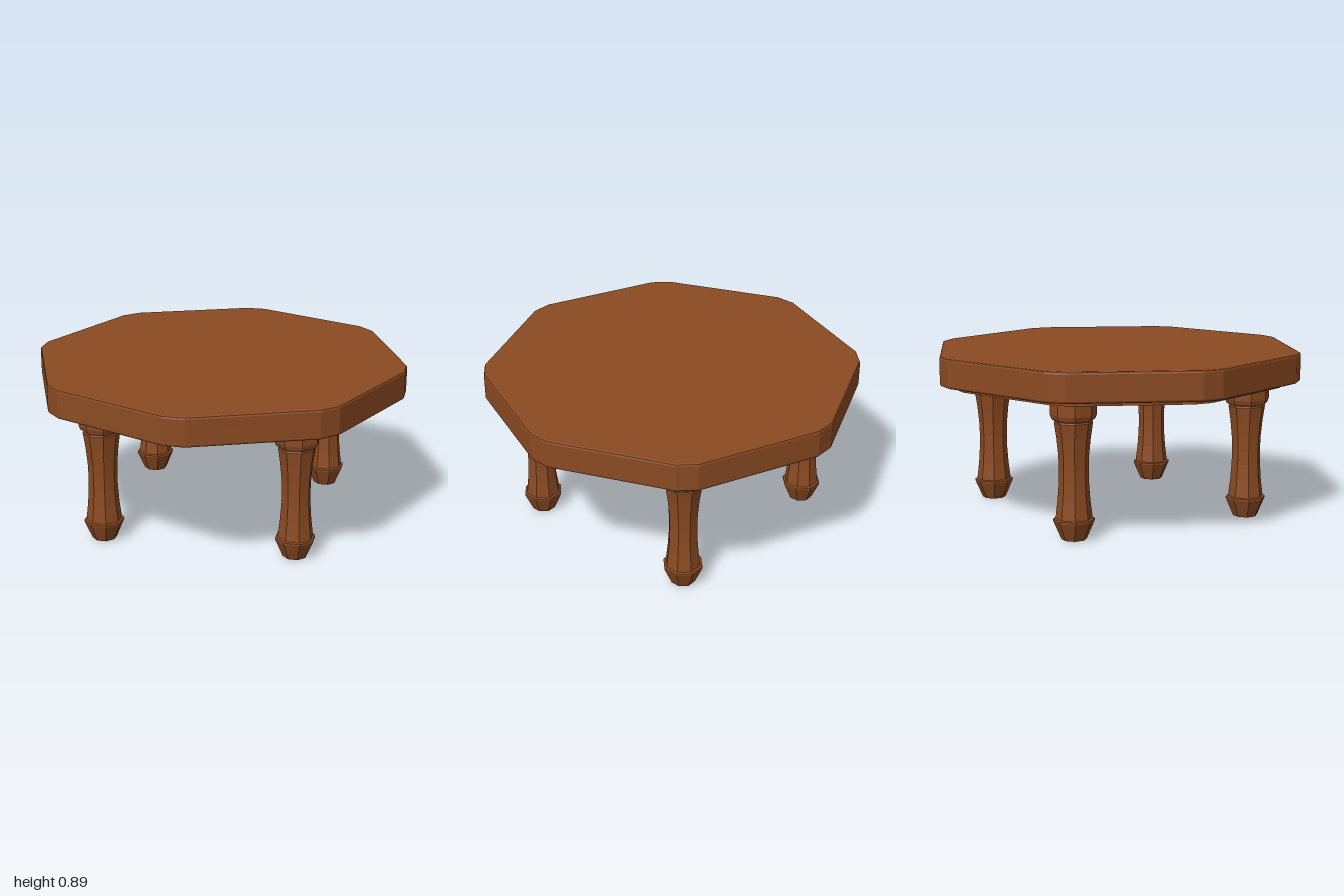
import * as THREE from 'three';

// Octagon with clipped corners pointing along the axes and diagonals
function clippedOctagon(radius, halfCut) {
  const points = [];
  for (let i = 0; i < 8; i++) {
    for (const side of [-1, 1]) {
      points.push(new THREE.Vector2(radius, side * halfCut).rotateAround(new THREE.Vector2(), i * Math.PI / 4));
    }
  }
  return new THREE.Shape(points);
}

// Horizontal slab between two heights, with an optional eased edge
function slab(name, shape, bottom, top, bevel, material) {
  const geometry = new THREE.ExtrudeGeometry(shape, {
    depth: top - bottom - 2 * bevel,
    bevelEnabled: bevel > 0,
    bevelThickness: bevel,
    bevelSize: bevel,
    bevelOffset: -bevel,
    bevelSegments: 2,
  });
  geometry.rotateX(-Math.PI / 2);
  geometry.translate(0, bottom + bevel, 0);
  const mesh = new THREE.Mesh(geometry, material);
  mesh.name = name;
  return mesh;
}

// Eight-sided turned piece; the profile lists [half width across flats, height]
function turned(name, profile, material) {
  const points = profile.map(([w, y]) => new THREE.Vector2(w / Math.cos(Math.PI / 8), y));
  const geometry = new THREE.LatheGeometry(points, 8, Math.PI / 8);
  const mesh = new THREE.Mesh(geometry, material);
  mesh.name = name;
  return mesh;
}

export function createModel() {
  const wood = new THREE.MeshStandardMaterial({ color: 0x8b4a22 });
  wood.name = 'brown wood';
  wood.flatShading = true;

  const table = new THREE.Group();
  table.name = 'table';

  // Top and the thin plate beneath it
  table.add(slab('tableTop', clippedOctagon(1, 0.055), 0.735, 0.89, 0.012, wood));
  table.add(slab('underPlate', clippedOctagon(0.91, 0.05), 0.71, 0.737, 0, wood));

  // Four legs, one on each axis
  const shaft = [[0, 0], [0.06, 0], [0.098, 0.096], [0.098, 0.106], [0.087, 0.11], [0.077, 0.2],
    [0.071, 0.29], [0.07, 0.36], [0.072, 0.43], [0.08, 0.52], [0.091, 0.6], [0.08, 0.615], [0, 0.615]];
  const collar = [[0, 0.608], [0.09, 0.608], [0.102, 0.618], [0.109, 0.64], [0.109, 0.712], [0, 0.712]];
  for (let i = 0; i < 4; i++) {
    const leg = new THREE.Group();
    leg.name = 'leg';
    leg.add(turned('legShaft', shaft, wood), turned('legCollar', collar, wood));
    const angle = i * Math.PI / 2;
    leg.position.set(0.728 * Math.cos(angle), 0, 0.728 * Math.sin(angle));
    table.add(leg);
  }
  return table;
}
